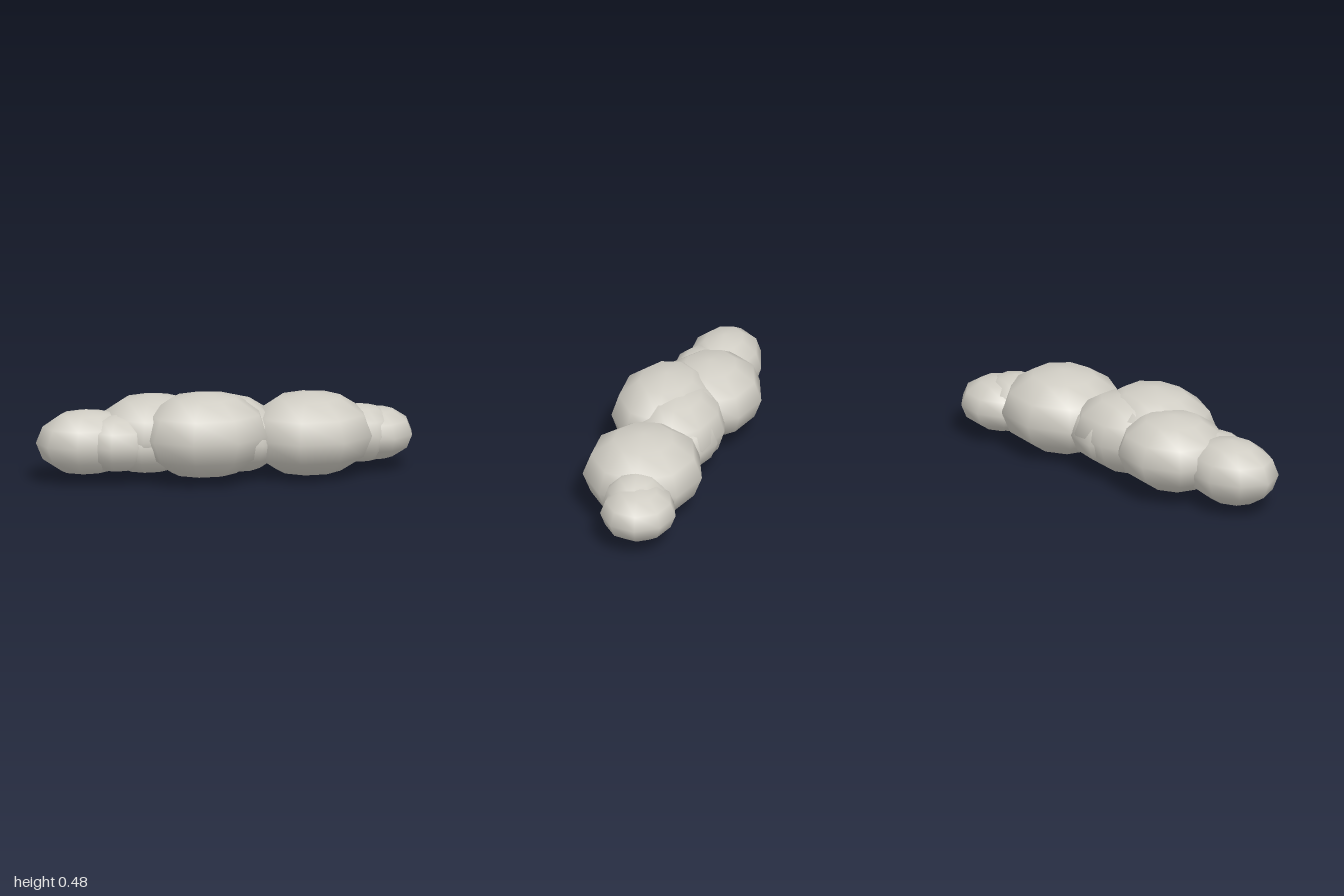
import * as THREE from 'three';

export function createModel() {
  const group = new THREE.Group();
  group.name = 'cloud';
  const material = new THREE.MeshStandardMaterial({ color: 0xd0cdc4 });
  material.name = 'warm light grey';

  // Shared coarse ball with one meridian pointing to the back
  const ball = new THREE.SphereGeometry(1, 9, 6);
  ball.rotateY(-Math.PI / 2);

  // Each puff: name, centre, radii
  const puffs = [
    ['centrePuff', [-0.138, 0.25, 0.09], [0.352, 0.23, 0.282]],
    ['leftPuff', [0.43, 0.222, 0.058], [0.345, 0.222, 0.316]],
    ['rearPuff', [-0.38, 0.24, -0.078], [0.315, 0.203, 0.278]],
    ['rightEndPuff', [-0.74, 0.21, -0.055], [0.264, 0.174, 0.2]],
    ['leftEndPuff', [0.786, 0.19, -0.0135], [0.217, 0.141, 0.2]],
    ['middleRearPuff', [-0.037, 0.23, 0.0], [0.33, 0.21, 0.25]],
    // Small fillers between the main puffs
    ['leftFiller', [0.705, 0.201, 0.02], [0.2, 0.157, 0.175]],
    ['rightFiller', [-0.59, 0.21, 0.015], [0.2, 0.152, 0.175]],
    ['middleFiller', [0.05, 0.21, 0.02], [0.25, 0.18, 0.258]],
    ['frontFiller', [-0.42, 0.2, 0.0], [0.24, 0.16, 0.19]],
  ];

  for (const [name, centre, radii] of puffs) {
    const puff = new THREE.Mesh(ball, material);
    puff.name = name;
    puff.position.set(...centre);
    puff.scale.set(...radii);
    group.add(puff);
  }
  return group;
}
